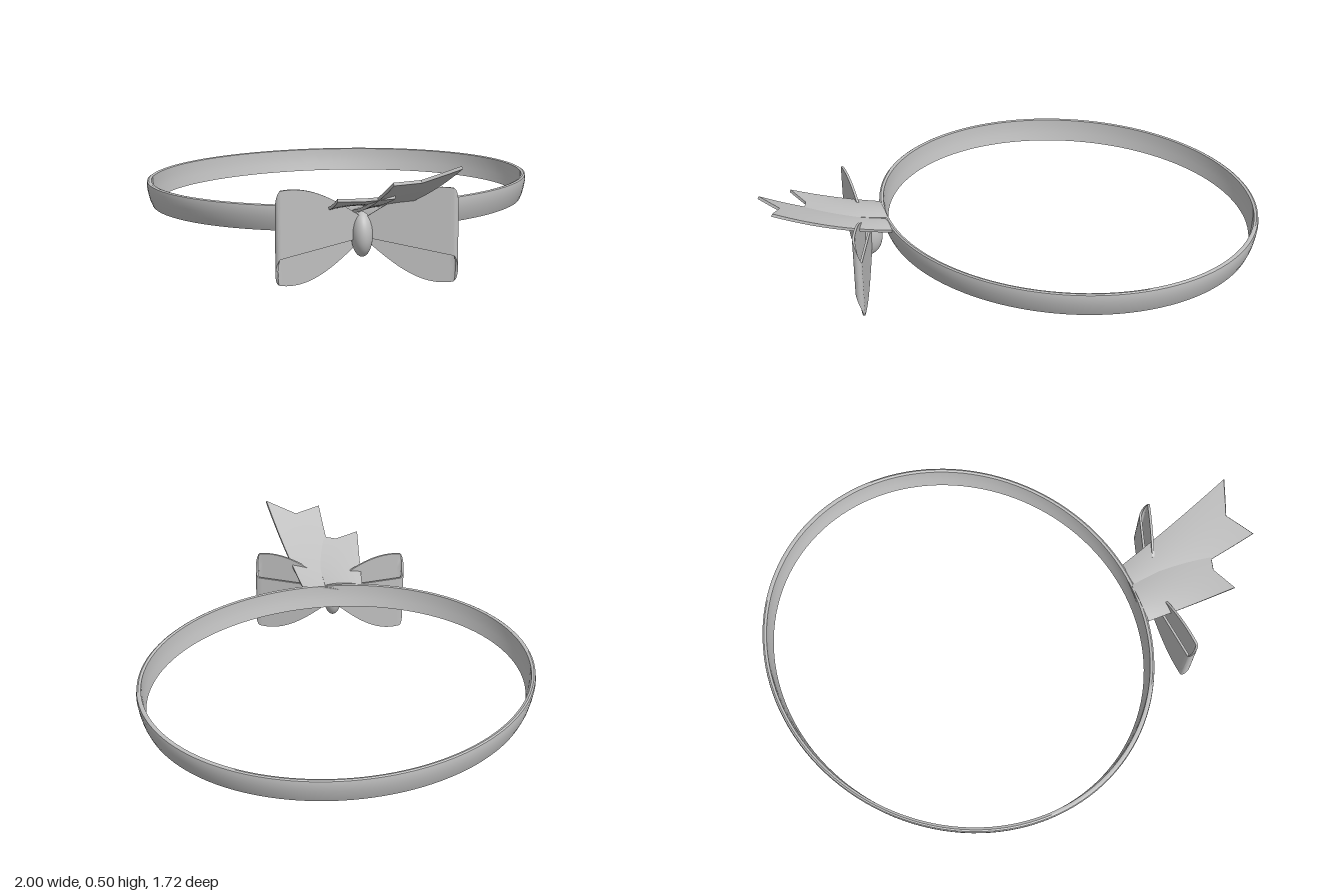
import * as THREE from 'three';
import { toCreasedNormals } from 'three/addons/utils/BufferGeometryUtils.js';

const lerp = THREE.MathUtils.lerp;

// Closed slab of even thickness around the surface fn(s, v) -> Vector3
function slab(fn, thickness, ns, nv) {
  const pos = [], idx = [], m = 2 * (nv + 1), h = 1e-3;
  for (let i = 0; i <= ns; i++) {
    const s = i / ns;
    for (let j = 0; j < m; j++) {
      const front = j <= nv;
      const v = (front ? j : m - 1 - j) / nv;
      const ds = fn(s + h, v).sub(fn(s - h, v));
      const dv = fn(s, v + h).sub(fn(s, v - h));
      const n = ds.cross(dv).normalize();
      const p = fn(s, v).addScaledVector(n, (front ? 0.5 : -0.5) * thickness);
      pos.push(p.x, p.y, p.z);
    }
  }
  for (let i = 0; i < ns; i++) {
    for (let j = 0; j < m; j++) {
      const k = (j + 1) % m, a = i * m, b = a + m;
      idx.push(a + j, b + j, b + k, a + j, b + k, a + k);
    }
  }
  // end caps
  const e = ns * m;
  for (let j = 0; j < nv; j++) {
    const a = j, b = j + 1, c = m - 2 - j, d = m - 1 - j;
    idx.push(a, b, c, a, c, d, e + a, e + c, e + b, e + a, e + d, e + c);
  }
  const geo = new THREE.BufferGeometry();
  geo.setAttribute('position', new THREE.Float32BufferAttribute(pos, 3));
  geo.setIndex(idx);
  return toCreasedNormals(geo, 0.7);
}

export function createModel() {
  const model = new THREE.Group();
  const grey = new THREE.MeshStandardMaterial({ color: 0xc0c0c0 });
  grey.name = 'satin grey';
  const add = (name, geo, parent = model) => {
    const mesh = new THREE.Mesh(geo, grey);
    mesh.name = name;
    parent.add(mesh);
    return mesh;
  };

  // Oval band, slightly wider at the top
  const profile = [
    [0.838, 0.185], [0.849, 0.21], [0.857, 0.24], [0.862, 0.27], [0.86, 0.287], [0.853, 0.291],
    [0.842, 0.288], [0.84, 0.26], [0.834, 0.225], [0.824, 0.187], [0.838, 0.185],
  ].map(([r, y]) => new THREE.Vector2(r, y));
  const ring = new THREE.LatheGeometry(profile, 128);
  ring.scale(0.907, 1, 1);
  ring.translate(-0.22, 0, 0);
  add('band', toCreasedNormals(ring, 0.8));

  const bow = new THREE.Group();
  bow.name = 'bow';
  model.add(bow);

  // Loops: a hairpin ribbon whose outer strand sits higher than its inner one
  const knot = new THREE.Vector3(0.49, 0, 0.51);
  const outward = new THREE.Vector3(0.81, 0, 0.59);
  function loop(name, endX, endZ) {
    const dir = new THREE.Vector3(endX, 0, endZ).sub(knot);
    const L = dir.length(), w = 0.0125;
    dir.normalize();
    const side = new THREE.Vector3(-dir.z, 0, dir.x);
    if (side.dot(outward) < 0) side.negate();
    const point = (s, v) => {
      let r, d;
      if (s < 0.4) { r = (L - w) * s / 0.4; d = w; }
      else if (s > 0.6) { r = (L - w) * (1 - s) / 0.4; d = -w; }
      else {
        const a = (s - 0.4) / 0.2 * Math.PI;
        r = L - w + w * Math.sin(a);
        d = w * Math.cos(a);
      }
      const k = r / L, swell = Math.sin(1.85 * k), f = (d / w + 1) / 2;
      const top = lerp(0.24 + 0.02 * k, 0.25 + 0.127 * swell, f);
      const bottom = lerp(0.17 - 0.168 * swell, 0.18 - 0.07 * k, f);
      const p = knot.clone().addScaledVector(dir, r).addScaledVector(side, d);
      p.y = lerp(bottom, top, v);
      return p;
    };
    add(name, slab(point, 0.01, 60, 8), bow);
  }
  loop('frontLoop', 0.345, 0.822);
  loop('backLoop', 0.757, 0.27);

  // Knot holding the bow against the band
  const centre = new THREE.SphereGeometry(1, 32, 24);
  centre.scale(0.042, 0.088, 0.062);
  const knotMesh = add('knot', centre, bow);
  knotMesh.position.set(0.487, 0.188, 0.515);
  knotMesh.rotation.y = 0.94;

  // Tails: rising strips with a V-notched end
  function tail(name, rootA, endA, rootB, endB, sag, notch) {
    const [a0, a1, b0, b1] = [rootA, endA, rootB, endB].map((p) => new THREE.Vector3(...p));
    const point = (s, v) => {
      const t = s * (1 - notch * (1 - Math.abs(2 * v - 1)));
      const p = a0.clone().lerp(a1, t).lerp(b0.clone().lerp(b1, t), v);
      p.y += -sag * 4 * t * (1 - t) + 0.012 * 4 * v * (1 - v) * (1 - t);
      return p;
    };
    // v runs from edge B to edge A so the front of the slab faces up
    add(name, slab((s, v) => point(s, 1 - v), 0.012, 24, 12), bow);
  }
  tail('longTail', [0.485, 0.275, 0.345], [0.995, 0.5, 0.495],
    [0.4, 0.26, 0.49], [0.885, 0.452, 0.73], 0.02, 0.11);
  tail('shortTail', [0.44, 0.285, 0.435], [0.76, 0.375, 0.6],
    [0.355, 0.275, 0.585], [0.667, 0.375, 0.8], 0.008, 0.1);

  return model;
}
